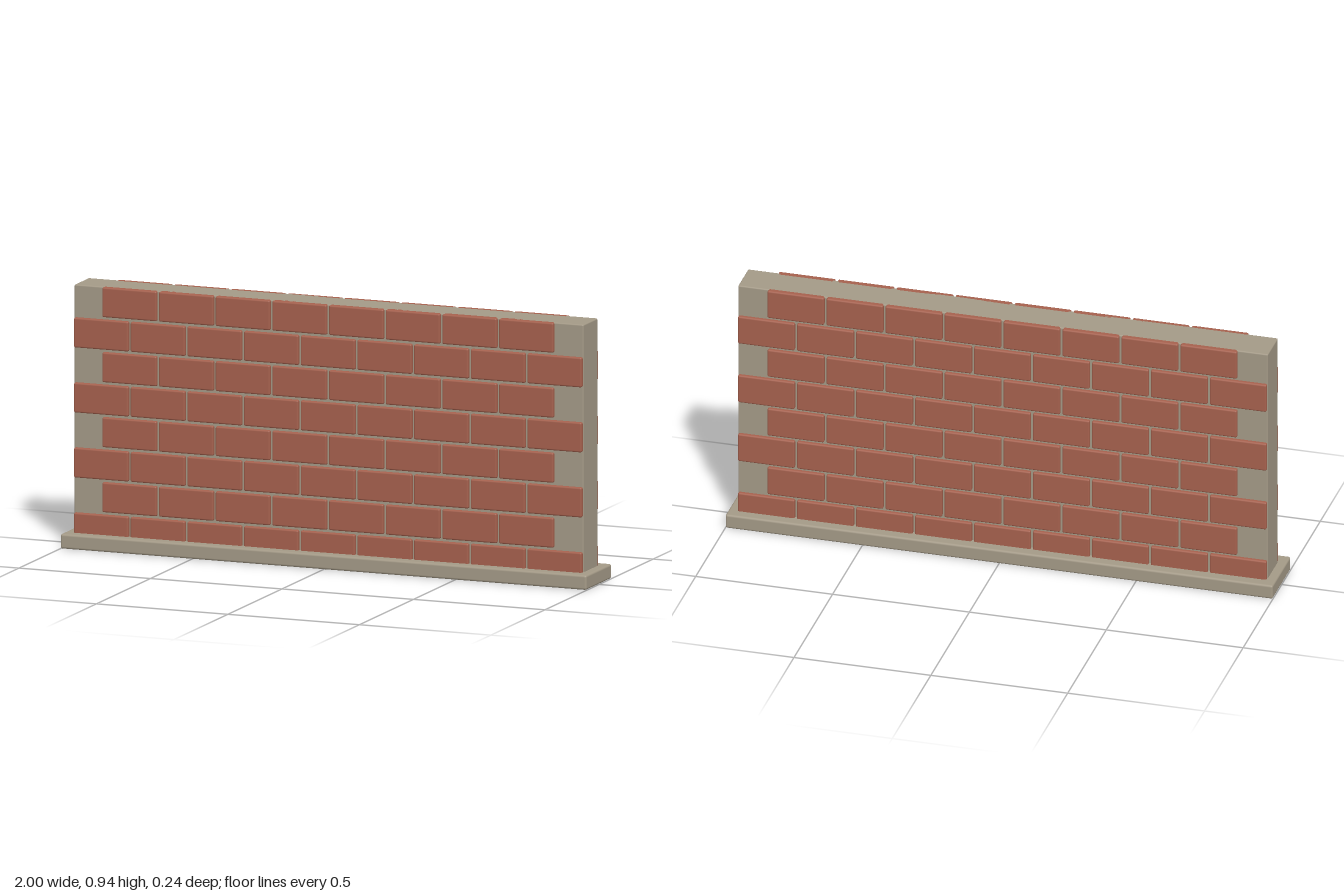
import * as THREE from 'three';
import { RoundedBoxGeometry } from 'three/addons/geometries/RoundedBoxGeometry.js';

export function createModel() {
  const stone = new THREE.MeshStandardMaterial({ color: 0xa39986 });
  stone.name = 'stone';
  const brickRed = new THREE.MeshStandardMaterial({ color: 0xa5604d });
  brickRed.name = 'brick red';

  const wall = new THREE.Group();
  wall.name = 'brickWall';

  function addBlock(name, w, h, d, y, radius) {
    const mesh = new THREE.Mesh(new RoundedBoxGeometry(w, h, d, 2, radius), stone);
    mesh.name = name;
    mesh.position.y = y;
    wall.add(mesh);
  }

  // Plinth and mortar core
  addBlock('plinth', 2, 0.053, 0.236, 0.0265, 0.008);
  addBlock('mortarCore', 1.936, 0.91, 0.132, 0.485, 0.005);

  // Running-bond brick courses on both faces, counted from the top down
  const pitchX = 0.2155, pitchY = 0.1165, top = 0.94;
  const width = 0.207, height = 0.107, depth = 0.03, faceZ = 0.079;
  const brickGeometry = new RoundedBoxGeometry(width, height, depth, 2, 0.006);

  for (const side of [1, -1]) {
    const face = new THREE.Group();
    face.name = side > 0 ? 'frontBricks' : 'backBricks';
    for (let row = 0; row < 8; row++) {
      const count = row % 2 === 0 ? 8 : 9;
      for (let i = 0; i < count; i++) {
        const brick = new THREE.Mesh(brickGeometry, brickRed);
        brick.name = 'brick';
        brick.position.set(
          (i - (count - 1) / 2) * pitchX,
          top - height / 2 - row * pitchY,
          side * (faceZ - depth / 2)
        );
        face.add(brick);
      }
    }
    wall.add(face);
  }
  return wall;
}
